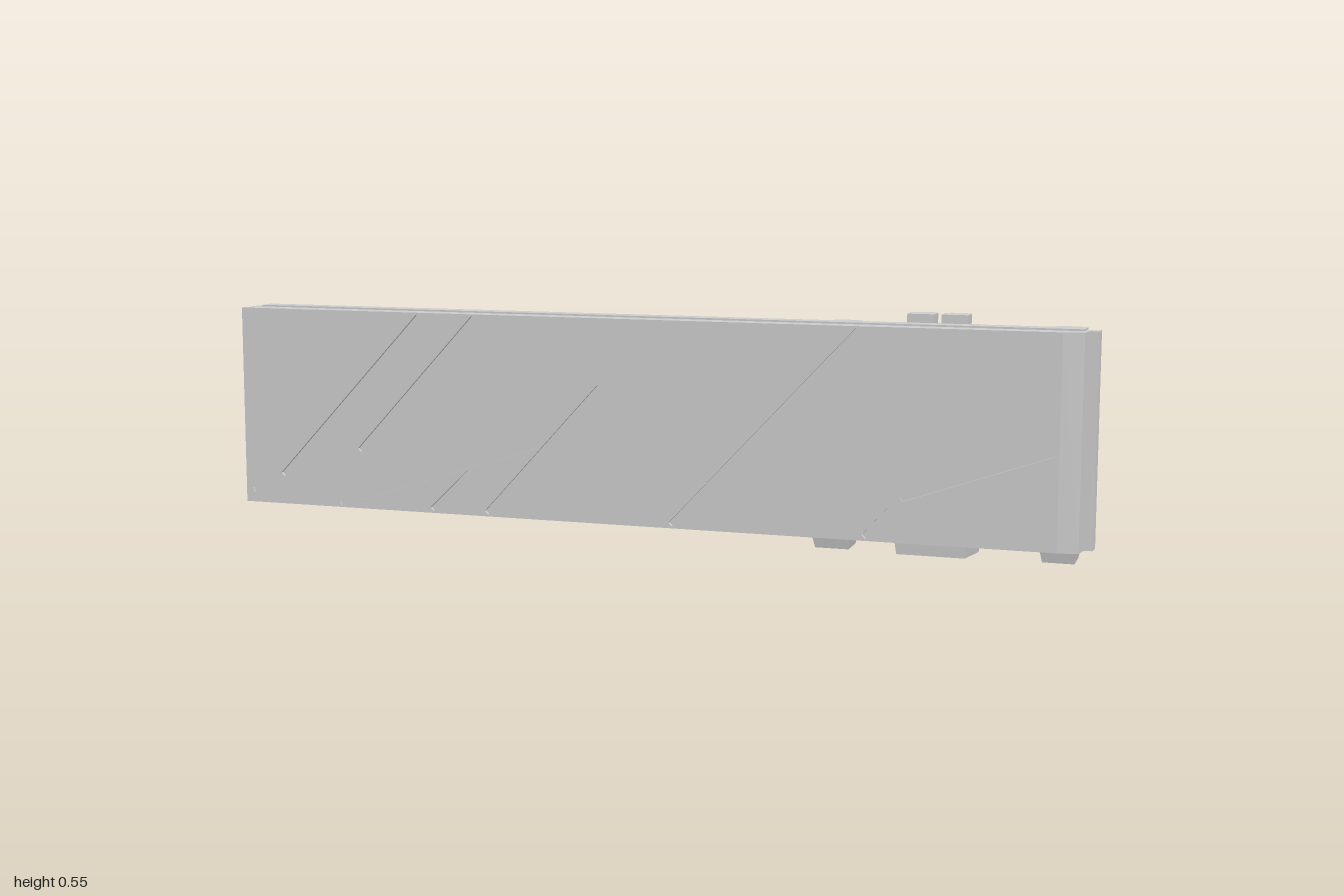
import * as THREE from 'three';

// Local frame: x = out of the wall's equipment side, y = up, z = along the wall.
const mat = new THREE.MeshStandardMaterial({ color: 0xcccccc, flatShading: true });

export function createModel() {
  const root = new THREE.Group();
  root.name = 'wallPanel';
  const wall = new THREE.Group();
  wall.name = 'wall';
  wall.rotation.y = THREE.MathUtils.degToRad(18.05);
  root.add(wall);

  const add = (name, geo) => {
    const mesh = new THREE.Mesh(geo, mat);
    mesh.name = name;
    wall.add(mesh);
    return mesh;
  };
  const shapeOf = (pts) => new THREE.Shape(pts.map((p) => new THREE.Vector2(p[0], p[1])));

  // Box given by its extents
  const box = (name, x0, x1, y0, y1, z0, z1) =>
    add(name, new THREE.BoxGeometry(x1 - x0, y1 - y0, z1 - z0)
      .translate((x0 + x1) / 2, (y0 + y1) / 2, (z0 + z1) / 2));

  // Upright prism from a plan outline of [x, z]; the base can shrink to make a tapered foot
  const column = (name, plan, y0, y1, taper = 1) => {
    const geo = new THREE.ExtrudeGeometry(shapeOf(plan.map(([x, z]) => [x, -z])),
      { depth: y1 - y0, bevelEnabled: false });
    geo.rotateX(-Math.PI / 2).translate(0, y0, 0);
    if (taper !== 1) {
      geo.computeBoundingBox();
      const c = geo.boundingBox.getCenter(new THREE.Vector3());
      const p = geo.attributes.position;
      for (let i = 0; i < p.count; i++) {
        if (p.getY(i) > y0 + 1e-4) continue;
        p.setX(i, c.x + (p.getX(i) - c.x) * taper);
        p.setZ(i, c.z + (p.getZ(i) - c.z) * taper);
      }
      geo.computeVertexNormals();
    }
    return add(name, geo);
  };

  // Side outline of [x, y] extruded along the wall
  const rib = (name, pts, z, width) =>
    add(name, new THREE.ExtrudeGeometry(shapeOf(pts), { depth: width, bevelEnabled: false })
      .translate(0, 0, z - width / 2));

  // Horizontal pipe along the wall
  const pipe = (name, x, y, z0, z1, r) =>
    add(name, new THREE.CylinderGeometry(r, r, z1 - z0, 8).rotateX(Math.PI / 2)
      .translate(x, y, (z0 + z1) / 2));

  // Core slab with stepped tongues on both ends
  column('wallCore', [
    [-0.048, -1.06], [-0.014, -1.051], [-0.012, -1.058], [0.022, -1.05], [0.024, -1.03],
    [0.038, -1.03], [0.038, 1.01], [0.025, 1.012], [0.025, 1.042], [-0.007, 1.04],
    [-0.007, 1.02], [-0.048, 1.014],
  ], 0.036, 0.528);
  box('topRail', -0.012, 0.03, 0.526, 0.532, -1.03, 1.01);
  box('bottomRail', -0.02, 0.02, 0.032, 0.04, -1.03, 1.01);
  column('endTrim', [[0.03, -1.03], [0.046, -1.028], [0.048, -0.975], [0.038, -0.96], [0.03, -0.96]],
    0.036, 0.53);
  column('faceChamfer', [[-0.056, 0.967], [-0.048, 1.014], [-0.048, 0.967]], 0.036, 0.528);

  // Facing plate with diagonal grooves, each a slot from (z0, y0) to (z1, y1)
  const face = shapeOf([[-1.064, 0.036], [0.967, 0.036], [0.967, 0.528], [-1.064, 0.528]]);
  const grooves = [
    [-0.96, 0.11, -0.58, 0.52], [-0.745, 0.182, -0.435, 0.52], [-1.045, 0.066, 0.29, 0.52],
    [-0.8, 0.045, -0.285, 0.212], [-0.55, 0.045, -0.45, 0.143], [-0.405, 0.045, -0.113, 0.365],
    [0.065, 0.045, 0.51, 0.52], [0.53, 0.045, 0.592, 0.115], [0.615, 0.137, 0.955, 0.257],
  ];
  for (const [z0, y0, z1, y1] of grooves) {
    const d = new THREE.Vector2(z1 - z0, y1 - y0).normalize().multiplyScalar(0.006);
    face.holes.push(new THREE.Path([
      new THREE.Vector2(z0 - d.y, y0 + d.x), new THREE.Vector2(z1 - d.y, y1 + d.x),
      new THREE.Vector2(z1 + d.y, y1 - d.x), new THREE.Vector2(z0 + d.y, y0 - d.x),
    ]));
  }
  add('groovedFace', new THREE.ExtrudeGeometry(face, { depth: 0.008, bevelEnabled: false })
    .rotateY(-Math.PI / 2).translate(-0.048, 0, 0));

  // Two chamfered posts with tapered feet reaching under the wall
  const post = (name, a, b, c, d) => {
    column(name, [[0.03, a], [0.038, a], [0.072, b], [0.077, c], [0.065, d], [0.03, d]], 0.036, 0.53);
    column(name + 'Foot', [[-0.022, a], [0.038, a], [0.072, b], [0.077, c], [0.065, d], [-0.022, d]],
      0.005, 0.036, 0.85);
  };
  post('innerPost', 0.4, 0.436, 0.475, 0.493);
  post('outerPost', 0.924, 0.942, 0.978, 1.008);

  // Central machine housing: backing, body, top cap and foot
  column('housingBack', [[0.03, 0.525], [0.04, 0.525], [0.058, 0.55], [0.058, 0.8], [0.03, 0.812]],
    0.1, 0.47);
  column('housingBody', [[0.03, 0.58], [0.07, 0.58], [0.084, 0.6], [0.084, 0.75], [0.072, 0.775], [0.03, 0.775]],
    0.05, 0.45);
  column('housingCap', [[0.03, 0.575], [0.075, 0.575], [0.088, 0.605], [0.086, 0.75], [0.072, 0.78], [0.03, 0.78]],
    0.44, 0.528, 1.0);
  column('housingFoot', [[-0.022, 0.59], [0.07, 0.57], [0.088, 0.605], [0.086, 0.75], [0.07, 0.785], [-0.022, 0.765]],
    0.002, 0.065, 0.9);
  for (const [z0, z1] of [[0.605, 0.668], [0.684, 0.745]])
    column('topLug', [[0.03, z0], [0.075, z0], [0.086, z0 + 0.012], [0.086, z1 - 0.012], [0.075, z1], [0.03, z1]],
      0.52, 0.552);
  for (const z of [0.566, 0.79]) {
    box('sideFlange', 0.03, 0.068, 0.15, 0.44, z - 0.012, z + 0.012);
    for (const y of [0.16, 0.29, 0.41]) box('flangeBolt', 0.06, 0.075, y, y + 0.02, z - 0.009, z + 0.009);
  }

  // Cooling ribs and their cross bars
  for (const z of [0.615, 0.655, 0.695, 0.735])
    rib('coolingRib', [[0.075, 0.03], [0.09, 0.035], [0.104, 0.06], [0.104, 0.385], [0.096, 0.415], [0.075, 0.425]],
      z, 0.01);
  for (const y of [0.13, 0.275, 0.385]) box('crossBar', 0.075, 0.095, y, y + 0.012, 0.59, 0.76);

  // Equipment in the bay beside the outer post
  box('upperCabinet', 0.03, 0.05, 0.39, 0.51, 0.815, 0.9);
  box('cabinetDoor', 0.045, 0.058, 0.41, 0.495, 0.825, 0.865);
  box('cabinetLatch', 0.045, 0.062, 0.42, 0.48, 0.875, 0.893);
  box('middleCabinet', 0.03, 0.052, 0.26, 0.365, 0.82, 0.9);
  box('middleDoor', 0.045, 0.06, 0.28, 0.35, 0.85, 0.892);
  box('shelf', 0.03, 0.062, 0.205, 0.225, 0.78, 0.925);
  box('lowerCabinet', 0.03, 0.05, 0.065, 0.18, 0.83, 0.88);
  for (const y of [0.1, 0.13, 0.16, 0.24, 0.375]) pipe('pipe', 0.052, y, 0.78, 0.93, 0.009);
  for (const z of [0.81, 0.912]) box('bayUpright', 0.03, 0.052, 0.06, 0.51, z - 0.007, z + 0.007);

  // Brackets joining the housing to the inner post
  for (const [y0, y1] of [[0.07, 0.15], [0.19, 0.22], [0.4, 0.5]]) {
    box('bracket', 0.03, 0.056, y0, y1, 0.485, 0.58);
    box('bracketBlock', 0.05, 0.068, y0 + 0.008, y1 - 0.008, 0.515, 0.545);
  }
  for (const y of [0.1, 0.44, 0.47]) pipe('bracketPipe', 0.062, y, 0.48, 0.585, 0.008);

  return root;
}
